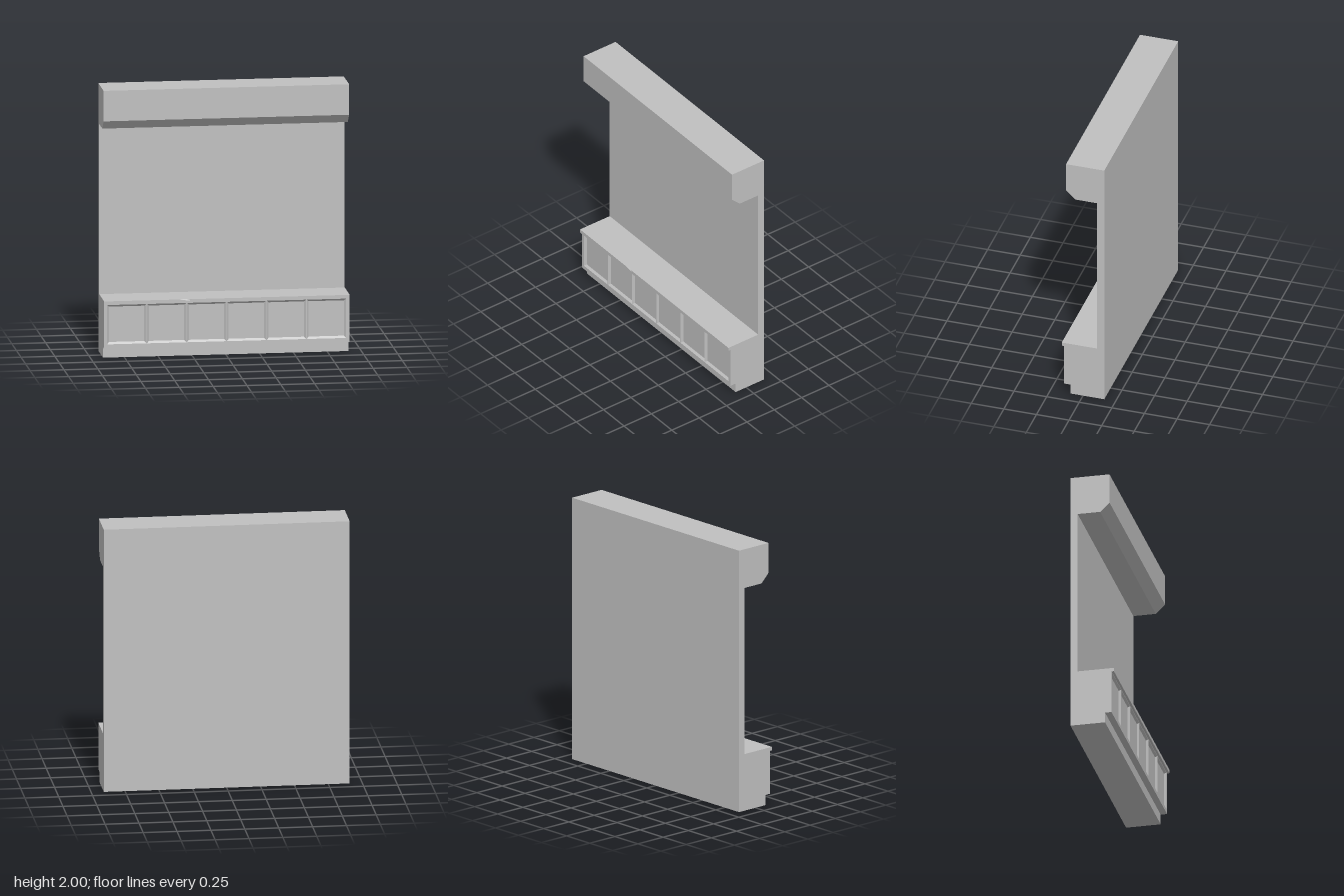
import * as THREE from 'three';

const WIDTH = 1.814, HALF = WIDTH / 2;

export function createModel() {
  const group = new THREE.Group();
  const grey = new THREE.MeshStandardMaterial({ color: 0xc0c0c0 });
  grey.name = 'grey';

  const add = (name, geometry) => {
    const mesh = new THREE.Mesh(geometry, grey);
    mesh.name = name;
    group.add(mesh);
  };

  // Extrudes a [z, y] side profile across the full width
  const sideProfile = (points) => {
    const shape = new THREE.Shape(points.map(([z, y]) => new THREE.Vector2(-z, y)));
    return new THREE.ExtrudeGeometry(shape, { depth: WIDTH, bevelEnabled: false })
      .rotateY(Math.PI / 2).translate(-HALF, 0, 0);
  };

  // Back wall, overhanging canopy, cabinet core and recessed plinth
  add('wallAndCabinet', sideProfile([
    [-0.163, 0], [0.097, 0], [0.097, 0.078], [0.13, 0.078], [0.13, 0.406],
    [0.13, 0.433], [-0.109, 0.433], [-0.109, 1.704], [0.06, 1.704],
    [0.13, 1.772], [0.13, 2], [-0.163, 2],
  ]));

  // Cabinet front with six bevelled recessed panels
  const pitch = 0.295, count = 6, bevel = 0.015, y0 = 0.108, y1 = 0.402;
  const front = new THREE.Shape([
    [-HALF, 0.078], [HALF, 0.078], [HALF, 0.406], [-HALF, 0.406],
  ].map(([x, y]) => new THREE.Vector2(x, y)));
  for (let i = 0; i < count; i++) {
    const a = (i - count / 2) * pitch + 0.002, b = a + pitch - 0.004;
    front.holes.push(new THREE.Path([
      [a, y0], [a, y1], [b, y1], [b, y0],
    ].map(([x, y]) => new THREE.Vector2(x, y))));
  }
  const panels = new THREE.ExtrudeGeometry(front, { depth: 0.015, bevelEnabled: false });
  const p = panels.attributes.position;
  for (let i = 0; i < p.count; i++) {
    const x = p.getX(i), y = p.getY(i);
    // Pull the rear edge of each opening inwards to slope its sides
    if (p.getZ(i) < 0.001 && Math.abs(x) < HALF - 0.01) {
      const centre = (Math.floor(x / pitch) + 0.5) * pitch;
      p.setX(i, x + Math.sign(centre - x) * bevel);
      p.setY(i, y + Math.sign((y0 + y1) / 2 - y) * bevel);
    }
  }
  panels.computeVertexNormals();
  add('panelledFront', panels.translate(0, 0, 0.13));

  // Counter lip: plain lower layer and a chipped upper layer
  const lipBack = 0.13, lipFront = 0.163, chipY = 0.425, top = 0.433;
  add('counterLip', new THREE.BoxGeometry(WIDTH, chipY - 0.406, lipFront - lipBack)
    .translate(0, (chipY + 0.406) / 2, (lipFront + lipBack) / 2));

  const edge = new THREE.Shape([
    [-HALF, -lipFront], [-0.36, -lipFront], [-0.3, -0.153], [-0.26, -lipFront],
    [HALF, -lipFront], [HALF, -lipBack], [-HALF, -lipBack],
  ].map(([x, y]) => new THREE.Vector2(x, y)));
  const chipped = new THREE.ExtrudeGeometry(edge, { depth: top - chipY, bevelEnabled: false })
    .rotateX(-Math.PI / 2).translate(0, chipY, 0);
  const c = chipped.attributes.position;
  for (let i = 0; i < c.count; i++) {
    // Slope the chip out to the front face at its base
    if (Math.abs(c.getX(i) + 0.3) < 0.01 && c.getY(i) < chipY + 0.001) c.setZ(i, lipFront);
  }
  chipped.computeVertexNormals();
  add('chippedCounterEdge', chipped);

  return group;
}
